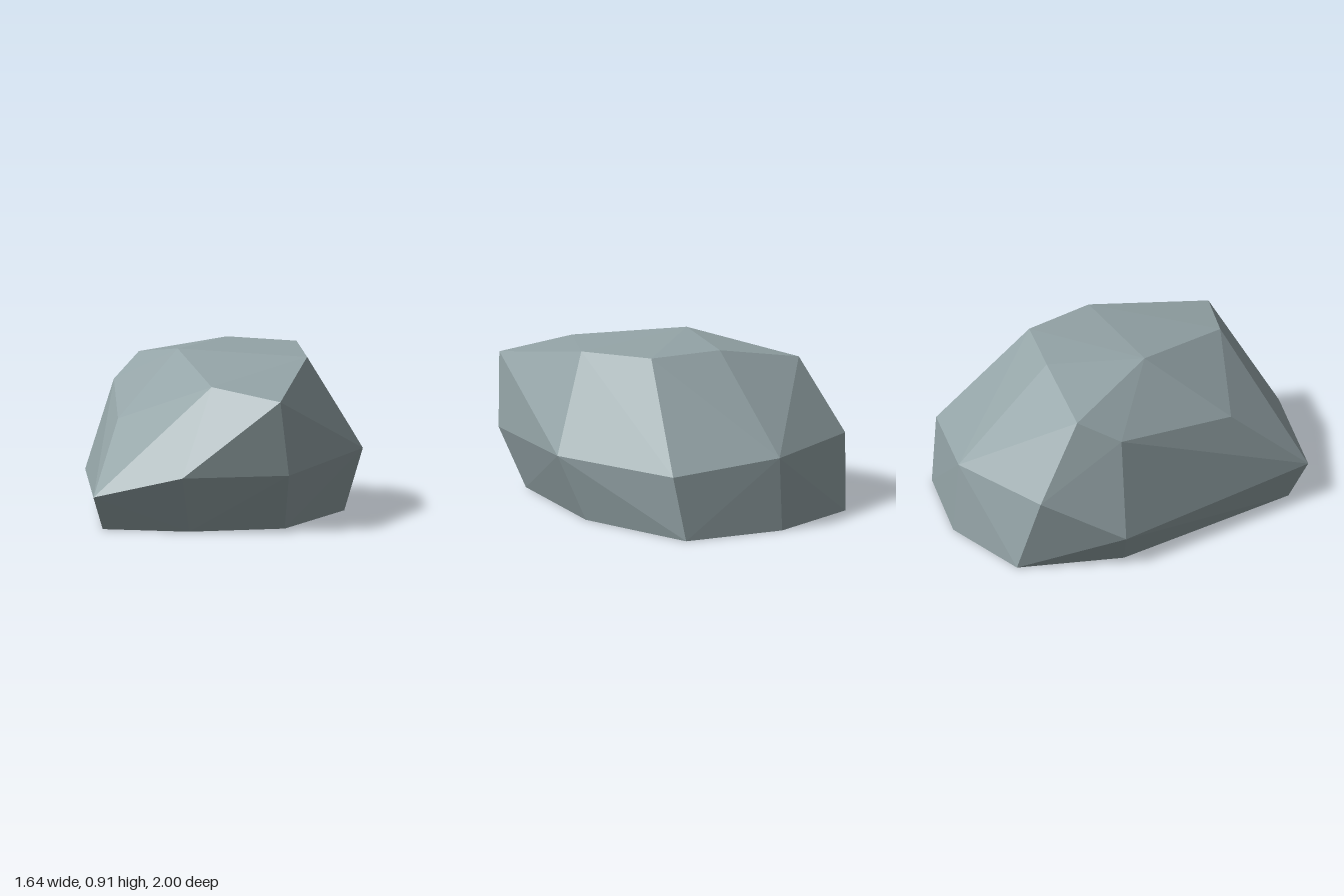
import * as THREE from 'three';

const v = ([x, y, z]) => new THREE.Vector3(x, y, z);

// Eight-cornered outlines, running from the front round by +x to the back
const foot = [
  [-0.27, 0, 0.89], [0.21, 0, 0.8], [0.65, 0, 0.485], [0.68, 0, -0.3],
  [0.4, 0, -0.97], [-0.18, 0, -1], [-0.69, 0, -0.77], [-0.73, 0, -0.17],
].map(v);
const waist = [
  [-0.28, 0.19, 1], [0.24, 0.32, 0.97], [0.74, 0.32, 0.64], [0.82, 0.365, -0.23],
  [0.46, 0.36, -0.93], [-0.18, 0.405, -0.97], [-0.75, 0.41, -0.65], [-0.82, 0.165, -0.18],
].map(v);
const shoulder = [
  [-0.32, 0.57, 0.55], [0.28, 0.79, 0.645], [0.71, 0.735, 0.69], [0.57, 0.885, -0.03],
  [0.34, 0.91, -0.43], [-0.08, 0.91, -0.44], [-0.59, 0.805, -0.4], [-0.64, 0.68, -0.16],
].map(v);
const peak = v([-0.15, 0.91, 0.1]);

// Split a four-sided facet along the diagonal that bulges outwards
function addQuad(out, a, b, c, d) {
  const plane = new THREE.Plane().setFromCoplanarPoints(a, b, c);
  if (plane.distanceToPoint(d) <= 0) out.push(a, b, c, a, c, d);
  else out.push(a, b, d, b, c, d);
}

export function createModel() {
  const stone = new THREE.MeshStandardMaterial({ color: 0x94a4a7 });
  stone.name = 'blue grey stone';
  const points = [];

  // Side facets
  for (const [low, high] of [[foot, waist], [waist, shoulder]]) {
    for (let i = 0; i < 8; i++) {
      const j = (i + 1) % 8;
      addQuad(points, low[i], low[j], high[j], high[i]);
    }
  }

  // Four crown facets meeting at the peak
  for (let i = 0; i < 8; i += 2) {
    addQuad(points, shoulder[(i + 7) % 8], shoulder[i], shoulder[i + 1], peak);
  }

  // Flat underside
  for (let i = 1; i < 7; i++) points.push(foot[0], foot[i + 1], foot[i]);

  const geometry = new THREE.BufferGeometry().setFromPoints(points);
  geometry.computeVertexNormals(); // unshared corners keep every facet flat

  const rock = new THREE.Mesh(geometry, stone);
  rock.name = 'rock';
  const group = new THREE.Group();
  group.name = 'boulder';
  group.add(rock);
  return group;
}
